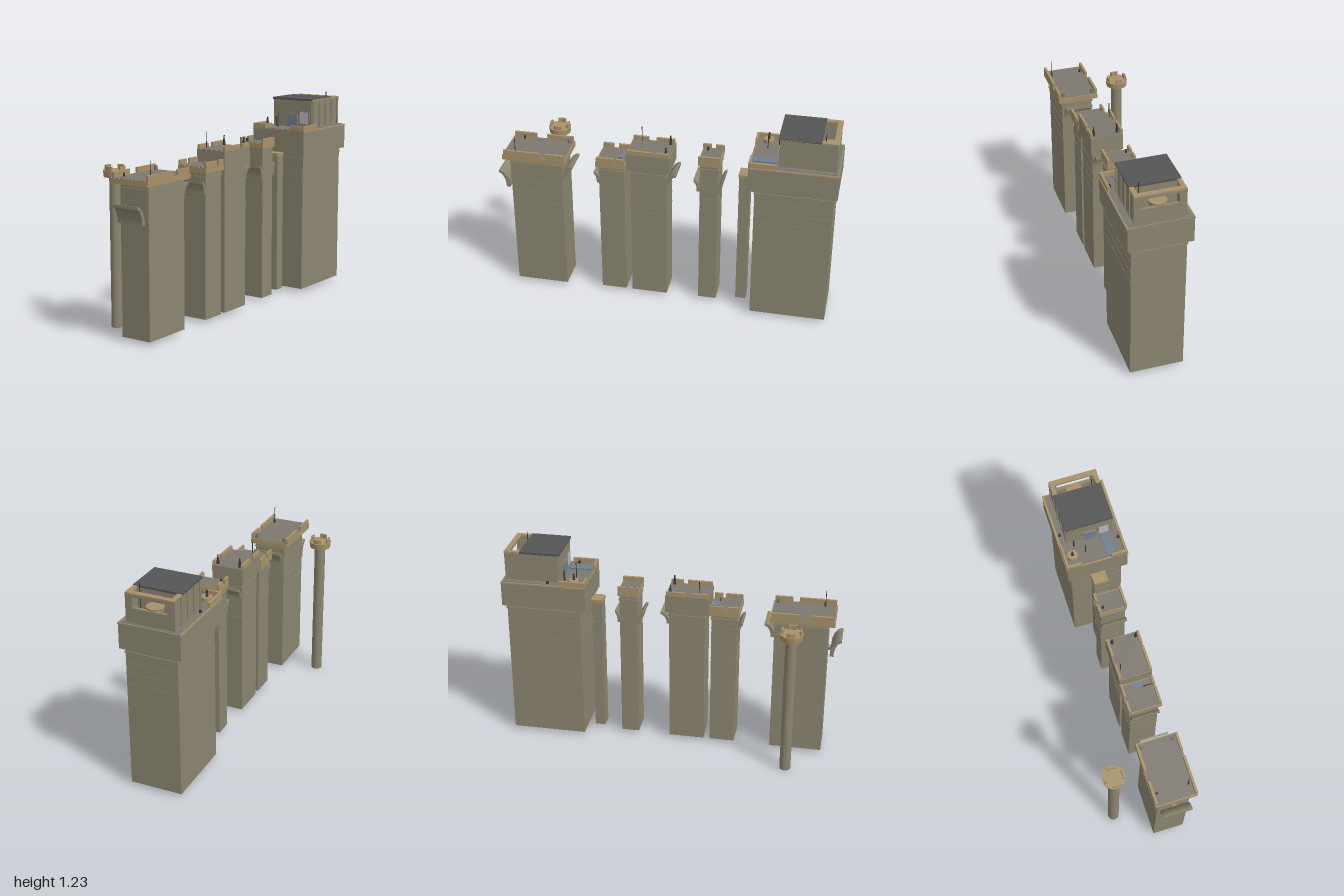
import * as THREE from 'three';

const mat = (color, extra = {}) => new THREE.MeshStandardMaterial({ color, roughness: 0.9, ...extra });
const STONE = mat(0x8c8670), TRIM = mat(0xa8916a), FLOOR = mat(0x7d7870), ROOF = mat(0x555555);
const GLASS = mat(0x6f7f93), PANE = mat(0xb8b8c4), IRON = mat(0x3c3a36);

export function createModel() {
  const model = new THREE.Group();

  const add = (parent, name, geo, material) => {
    const mesh = new THREE.Mesh(geo, material);
    mesh.name = name;
    parent.add(mesh);
    return mesh;
  };
  // Box given by its limits on each axis
  const box = (parent, name, material, x0, x1, y0, y1, z0, z1) => {
    const m = add(parent, name, new THREE.BoxGeometry(x1 - x0, y1 - y0, z1 - z0), material);
    m.position.set((x0 + x1) / 2, (y0 + y1) / 2, (z0 + z1) / 2);
    return m;
  };
  // Upright cylinder from y0 to y1
  const post = (parent, name, material, x, z, y0, y1, r, rTop = r, sides = 12) => {
    const m = add(parent, name, new THREE.CylinderGeometry(rTop, r, y1 - y0, sides), material);
    m.position.set(x, (y0 + y1) / 2, z);
    return m;
  };
  const group = (name) => {
    const g = new THREE.Group();
    g.name = name;
    model.add(g);
    return g;
  };

  // Curved hood: upright at the wall, flaring outward to a flat tip
  const hood = (parent, x0, x1, zWall, dir, yLow, yTip, reach, thick = 0.022) => {
    const h = yTip - yLow;
    const s = new THREE.Shape();
    s.moveTo(0, 0);
    for (let i = 1; i <= 10; i++) {
      const a = (i / 10) * Math.PI / 2;
      s.lineTo(reach * (1 - Math.cos(a)), h * Math.sin(a));
    }
    for (let i = 10; i >= 0; i--) {
      const a = (i / 10) * Math.PI / 2;
      s.lineTo(thick + (reach - thick) * (1 - Math.cos(a)), (h - 0.016) * Math.sin(a));
    }
    const geo = new THREE.ExtrudeGeometry(s, { depth: x1 - x0, bevelEnabled: false });
    const m = add(parent, 'curvedHood', geo, STONE);
    m.rotation.y = -dir * Math.PI / 2;
    m.position.set(dir > 0 ? x1 : x0, yLow, zWall);
  };

  // Shaft with stone courses and a stepped neck under the deck
  const shaft = (parent, x0, x1, z0, z1, top, courses) => {
    box(parent, 'shaft', STONE, x0, x1, 0.02, top, z0, z1);
    const band = (name, y, h, e) => box(parent, name, STONE, x0 - e, x1 + e, y, y + h, z0 - e, z1 + e);
    courses.forEach((y) => band('stoneCourse', y, 0.003, 0.0015));
    band('neckBand', top - 0.03, 0.008, 0.005);
  };

  // Overhanging deck with a floor and broken parapets along both sides
  const deck = (parent, x0, x1, z0, z1, y0, y1, rim, segments) => {
    box(parent, 'deckSlab', y1 - y0 > 0.06 ? STONE : TRIM, x0, x1, y0, y1, z0, z1);
    box(parent, 'deckFloor', FLOOR, x0 + 0.006, x1 - 0.006, y1, y1 + 0.002, z0 + 0.006, z1 - 0.006);
    segments.forEach(([side, a, b]) => {
      const x = side < 0 ? x0 : x1 - 0.014;
      const L = z1 - z0;
      box(parent, 'parapet', TRIM, x, x + 0.014, y1, y1 + rim, z0 + a * L, z0 + b * L);
    });
  };
  const broken = [[-1, 0.02, 0.45], [-1, 0.62, 0.98], [1, 0.02, 0.3], [1, 0.4, 0.98]];

  // Slender round watchtower
  const tower = group('watchtower');
  const tx = -0.208, tz = 0.725;
  post(tower, 'towerShaft', STONE, tx, tz, 0, 0.87, 0.033, 0.033, 32);
  post(tower, 'towerCollar', TRIM, tx, tz, 0.86, 0.896, 0.063, 0.067, 32);
  for (let i = 0; i < 4; i++) {
    const a = i * Math.PI / 2 - 0.42, s = new THREE.Shape();
    s.absarc(0, 0, 0.06, a, a + 0.84, false);
    s.absarc(0, 0, 0.048, a + 0.84, a, true);
    const geo = new THREE.ExtrudeGeometry(s, { depth: 0.027, bevelEnabled: false, curveSegments: 8 });
    const m = add(tower, 'merlon', geo, TRIM);
    m.rotation.x = -Math.PI / 2;
    m.position.set(tx, 0.895, tz);
  }

  // Front block
  const front = group('frontBlock');
  shaft(front, -0.01, 0.18, 0.608, 0.918, 0.87, [0.58, 0.65, 0.715, 0.78]);
  deck(front, -0.04, 0.205, 0.582, 0.958, 0.868, 0.898, 0.032, broken);
  hood(front, 0, 0.168, 0.935, 1, 0.66, 0.768, 0.065);
  box(front, 'hoodBracket', STONE, 0.07, 0.1, 0.665, 0.685, 0.91, 0.945);
  hood(front, 0, 0.168, 0.61, -1, 0.755, 0.84, 0.06);
  [-0.012, 0.172].forEach((x) => {
    post(front, 'deckPost', FLOOR, x, 0.61, 0.898, 0.925, 0.011);
    post(front, 'deckStud', IRON, x, 0.885, 0.898, 0.92, 0.006);
  });
  post(front, 'rod', IRON, 0.17, 0.887, 0.898, 1.0, 0.002, 0.002, 6);

  // Low and tall middle blocks
  const low = group('lowMiddleBlock');
  shaft(low, 0, 0.165, 0.238, 0.388, 0.87, [0.58, 0.65, 0.715, 0.78]);
  deck(low, -0.015, 0.18, 0.228, 0.404, 0.868, 0.9, 0.03, broken);
  hood(low, 0, 0.165, 0.386, 1, 0.755, 0.825, 0.035, 0.016);
  box(low, 'skylight', GLASS, 0.055, 0.11, 0.9, 0.907, 0.235, 0.275);
  box(low, 'deckRail', IRON, 0.11, 0.16, 0.9, 0.908, 0.268, 0.273);

  const tall = group('tallMiddleBlock');
  shaft(tall, 0, 0.165, -0.013, 0.2, 0.87, [0.58, 0.65, 0.715, 0.78]);
  deck(tall, -0.015, 0.18, -0.035, 0.222, 0.868, 0.972, 0.026, broken);
  hood(tall, 0.005, 0.16, -0.012, -1, 0.785, 0.857, 0.055, 0.018);
  [0.015, 0.155].forEach((x) => {
    post(tall, 'deckPost', IRON, x, -0.008, 0.97, 1.01, 0.009, 0.006);
    post(tall, 'postTip', IRON, x, -0.008, 1.01, 1.03, 0.004);
  });
  post(tall, 'rod', IRON, 0.01, 0.163, 0.97, 1.07, 0.002, 0.002, 6);

  // Narrow rear block and the thin pier before the keep
  const narrow = group('narrowBlock');
  shaft(narrow, 0.01, 0.158, -0.313, -0.206, 0.94, [0.58, 0.65, 0.715, 0.78]);
  deck(narrow, 0, 0.167, -0.322, -0.197, 0.94, 0.97, 0.028, [[-1, 0, 0.4], [-1, 0.6, 1], [1, 0, 1]]);
  hood(narrow, 0.008, 0.16, -0.206, 1, 0.765, 0.84, 0.037, 0.016);
  hood(narrow, 0.008, 0.16, -0.311, -1, 0.765, 0.84, 0.031, 0.016);
  post(narrow, 'deckStud', IRON, 0.03, -0.23, 0.97, 0.99, 0.007);

  const pier = group('pier');
  box(pier, 'pierShaft', STONE, 0.042, 0.122, 0.02, 0.865, -0.49, -0.428);
  box(pier, 'pierCap', TRIM, 0.039, 0.125, 0.862, 0.882, -0.493, -0.424);
  [0.53, 0.735, 0.8].forEach((y) => box(pier, 'pierCourse', STONE, 0.04, 0.124, y, y + 0.004, -0.492, -0.426));

  // Great keep
  const keep = group('keep');
  shaft(keep, -0.07, 0.24, -0.978, -0.533, 0.87, [0.65, 0.715, 0.78]);
  box(keep, 'keepCrown', STONE, -0.1, 0.266, 0.868, 1.02, -1, -0.495);
  box(keep, 'crownLedge', TRIM, -0.104, 0.27, 1.012, 1.02, -1, -0.495);
  box(keep, 'terraceFloor', FLOOR, -0.09, 0.256, 1.02, 1.023, -0.99, -0.505);
  [[-0.1, -0.086], [0.252, 0.266]].forEach(([a, b]) => box(keep, 'sideParapet', TRIM, a, b, 1.02, 1.05, -0.65, -0.495));
  [[-0.1, -0.01], [0.17, 0.266]].forEach(([a, b]) => box(keep, 'frontParapet', TRIM, a, b, 1.02, 1.05, -0.509, -0.495));
  post(keep, 'table', TRIM, -0.045, -0.57, 1.02, 1.045, 0.031, 0.031, 20);
  post(keep, 'tableStand', IRON, -0.045, -0.57, 1.045, 1.085, 0.008, 0.004);
  post(keep, 'rod', IRON, 0.035, -0.575, 1.02, 1.12, 0.0025, 0.0025, 6);
  post(keep, 'stake', IRON, -0.018, -0.635, 1.02, 1.085, 0.006, 0.004, 8);
  [[-0.078, -0.72], [0.243, -0.61]].forEach(([x, z]) => post(keep, 'terraceStud', IRON, x, z, 1.02, 1.035, 0.009));
  box(keep, 'terracePanel', GLASS, 0.148, 0.198, 1.022, 1.03, -0.65, -0.515);

  // House on the keep, with an open court behind the roofed room
  const house = group('keepHouse');
  const hx0 = -0.055, hx1 = 0.222, hz0 = -0.98, hz1 = -0.66;
  box(house, 'frontWall', STONE, hx0, hx1, 1.02, 1.19, hz1 - 0.015, hz1);
  box(house, 'courtWall', STONE, hx0, hx1, 1.02, 1.19, -0.89, -0.875);
  [hx0, hx1 - 0.018].forEach((x) => box(house, 'sideWall', STONE, x, x + 0.018, 1.02, 1.19, hz0, hz1));
  const wall = new THREE.Shape([[hx0, 1.02], [hx1, 1.02], [hx1, 1.19], [hx0, 1.19]].map((p) => new THREE.Vector2(...p)));
  wall.holes.push(new THREE.Path([[-0.02, 1.11], [-0.02, 1.172], [0.187, 1.172], [0.187, 1.11]].map((p) => new THREE.Vector2(...p))));
  add(house, 'backWall', new THREE.ExtrudeGeometry(wall, { depth: 0.02, bevelEnabled: false }), STONE).position.z = hz0;
  box(house, 'backCoping', TRIM, hx0 - 0.004, hx1 + 0.004, 1.188, 1.198, hz0 - 0.004, hz0 + 0.026);
  [hx0 - 0.004, hx1 - 0.022].forEach((x) => box(house, 'sideCoping', TRIM, x, x + 0.026, 1.188, 1.198, hz0, hz1));
  box(house, 'roof', ROOF, -0.06, 0.226, 1.19, 1.202, -0.89, -0.652);
  for (let i = 0; i < 5; i++) {
    const z = hz1 - 0.012 - i * 0.074;
    [hx0 - 0.006, hx1].forEach((x) => box(house, 'pilaster', STONE, x, x + 0.006, 1.02, 1.19, z - 0.012, z));
  }
  box(house, 'doorFrame', STONE, 0.042, 0.123, 1.02, 1.103, -0.66, -0.653);
  box(house, 'door', GLASS, 0.05, 0.115, 1.02, 1.095, -0.655, -0.651);
  box(house, 'windowFrame', STONE, 0.136, 0.206, 1.04, 1.124, -0.66, -0.655);
  box(house, 'windowPane', PANE, 0.141, 0.2, 1.046, 1.118, -0.657, -0.652);
  post(house, 'courtBasin', TRIM, 0.08, -0.925, 1.02, 1.12, 0.034, 0.05, 20);
  post(house, 'antenna', IRON, 0.178, -0.908, 1.02, 1.23, 0.0025, 0.0025, 6);

  return model;
}
